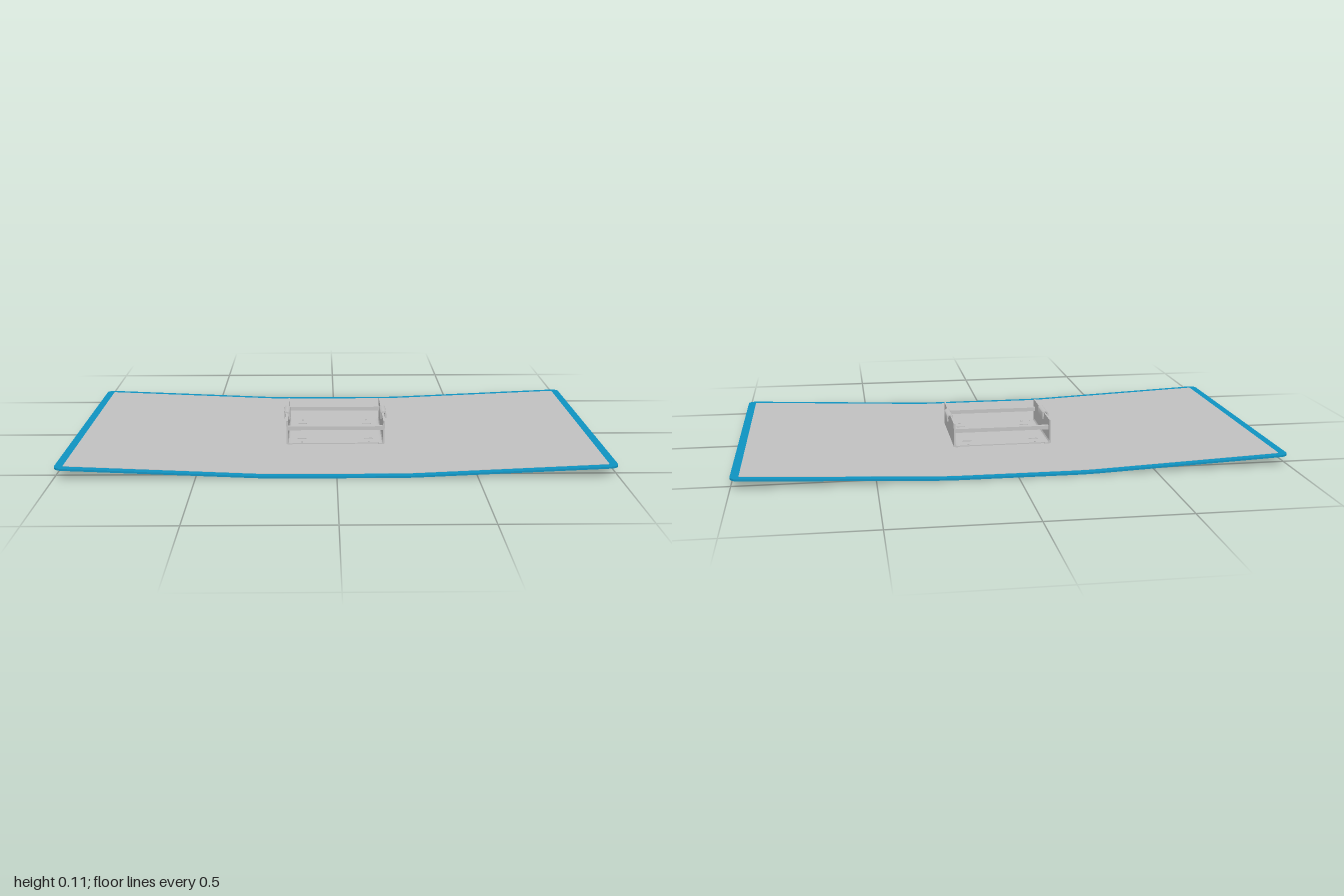
import * as THREE from 'three';
import { toCreasedNormals } from 'three/addons/utils/BufferGeometryUtils.js';

const grey = new THREE.MeshStandardMaterial({ color: 0xc0c0c0 });
grey.name = 'light grey';
const blue = new THREE.MeshStandardMaterial({ color: 0x0e92c0 });
blue.name = 'blue';

// Height of the gently bent panel at x
function bend(x) {
  const a = Math.abs(x), slope = 0.044;
  if (a < 0.2) return 0;
  return a < 0.3 ? slope * (a - 0.2) ** 2 / 0.2 : slope * (a - 0.25);
}

// Bent sheet with rounded corners, lofted from cross-sections along x
function sheet(halfW, halfD, r, y0, y1) {
  const xs = [];
  for (let i = 0; i < 6; i++) xs.push(halfW - r * (1 - Math.cos(i * Math.PI / 12)));
  for (const x of [halfW - r, 0.6, 0.3, 0.28, 0.26, 0.24, 0.22, 0.2]) {
    if (x < xs[xs.length - 1] - 1e-4) xs.push(x);
  }
  const stations = [...xs.map(x => -x), ...xs.reverse()];
  const pos = [], idx = [];
  stations.forEach((x, i) => {
    const e = Math.min(r, halfW - Math.abs(x));
    const h = halfD - r + Math.sqrt(Math.max(0, r * r - (r - e) ** 2));
    const y = bend(x);
    pos.push(x, y + y0, h, x, y + y0, -h, x, y + y1, -h, x, y + y1, h);
    if (i === 0) return;
    const a = (i - 1) * 4, b = i * 4;
    for (let k = 0; k < 4; k++) {
      const n = (k + 1) % 4;
      idx.push(a + k, a + n, b + k, a + n, b + n, b + k);
    }
  });
  const l = (stations.length - 1) * 4;
  idx.push(0, 2, 1, 0, 3, 2, l, l + 1, l + 2, l, l + 2, l + 3);
  const g = new THREE.BufferGeometry();
  g.setAttribute('position', new THREE.Float32BufferAttribute(pos, 3));
  g.setIndex(idx);
  return toCreasedNormals(g, 0.5);
}

function add(parent, name, geometry, material, x = 0, y = 0, z = 0) {
  const m = new THREE.Mesh(geometry, material);
  m.name = name;
  m.position.set(x, y, z);
  parent.add(m);
  return m;
}

// Profile in x-y, extruded along z and centred
function extrudeZ(points, depth) {
  const shape = new THREE.Shape(points.map(p => new THREE.Vector2(...p)));
  const g = new THREE.ExtrudeGeometry(shape, { depth, bevelEnabled: false });
  g.translate(0, 0, -depth / 2);
  return toCreasedNormals(g, 0.7);
}

// Floor of the bracket with small slots
function floorGeometry() {
  const s = new THREE.Shape();
  s.moveTo(-0.17, -0.165).lineTo(0.17, -0.165).lineTo(0.17, 0.165).lineTo(-0.17, 0.165);
  for (const x of [-0.13, 0.13]) for (const z of [-0.105, 0.105]) {
    const h = new THREE.Path();
    h.absarc(x + 0.012, z, 0.006, -Math.PI / 2, Math.PI / 2);
    h.absarc(x - 0.012, z, 0.006, Math.PI / 2, Math.PI * 1.5);
    s.holes.push(h);
  }
  const g = new THREE.ExtrudeGeometry(s, { depth: 0.004, bevelEnabled: false, curveSegments: 6 });
  return g.rotateX(-Math.PI / 2);
}

// Side wall in y-z with two slots separating the centre tab
function wallGeometry() {
  const s = new THREE.Shape();
  s.moveTo(-0.172, 0.012).lineTo(0.172, 0.012).lineTo(0.172, 0.103);
  for (const z of [0.056, -0.056]) {
    s.lineTo(z + 0.005, 0.103).lineTo(z + 0.005, 0.088);
    s.absarc(z, 0.088, 0.005, 0, -Math.PI, true);
    s.lineTo(z - 0.005, 0.103);
  }
  s.lineTo(-0.172, 0.103);
  const g = new THREE.ExtrudeGeometry(s, { depth: 0.006, bevelEnabled: false, curveSegments: 6 });
  return g.rotateY(Math.PI / 2).translate(-0.003, 0, 0);
}

// Rolled hook along the top of the centre tab
function hookGeometry() {
  const outer = [], inner = [];
  for (let i = 0; i <= 10; i++) {
    const t = Math.PI * i / 10;
    outer.push([Math.cos(t) * 0.012, 0.095 + Math.sin(t) * 0.012]);
    inner.unshift([Math.cos(t) * 0.007, 0.095 + Math.sin(t) * 0.007]);
  }
  return extrudeZ([[0.012, 0.08], ...outer, [-0.012, 0.076], [-0.007, 0.076], ...inner, [0.007, 0.08]], 0.1);
}

export function createModel() {
  const model = new THREE.Group();
  model.name = 'bentPanelWithBracket';

  // Panel
  add(model, 'panelBody', sheet(1, 0.55, 0.03, 0.001, 0.008), blue);
  add(model, 'panelTopSkin', sheet(0.97, 0.522, 0.004, 0.008, 0.0095), grey);
  add(model, 'undersideBand', sheet(0.235, 0.53, 0.002, 0, 0.001), grey);

  // Bracket
  const bracket = new THREE.Group();
  bracket.name = 'bracket';
  model.add(bracket);
  add(bracket, 'bracketFloor', floorGeometry(), grey, 0, 0.0095, 0);

  const wall = wallGeometry(), hook = hookGeometry();
  for (const side of [-1, 1]) {
    add(bracket, 'sideWall', wall, grey, side * 0.186, 0, 0);
    add(bracket, 'centreHook', hook, grey, side * 0.19, 0, 0).rotation.y = side < 0 ? Math.PI : 0;
    // Rounded bend joining wall and floor
    const foot = extrudeZ([[0.165, 0.0095], [0.183, 0.0095], [0.189, 0.013], [0.189, 0.022],
      [0.183, 0.022], [0.18, 0.016], [0.174, 0.0135], [0.165, 0.0135]], 0.344);
    add(bracket, 'footBend', foot, grey).rotation.y = side < 0 ? Math.PI : 0;
  }

  // Cross bars and floor studs
  const bar = new THREE.BoxGeometry(0.366, 0.015, 0.016);
  const stud = new THREE.CylinderGeometry(0.004, 0.004, 0.004, 10);
  for (const z of [-0.143, 0.143]) {
    add(bracket, 'crossBar', bar, grey, 0, 0.068, z);
    for (const x of [-0.13, 0.13]) add(bracket, 'floorStud', stud, grey, x, 0.0145, z * 1.08);
  }
  return model;
}
